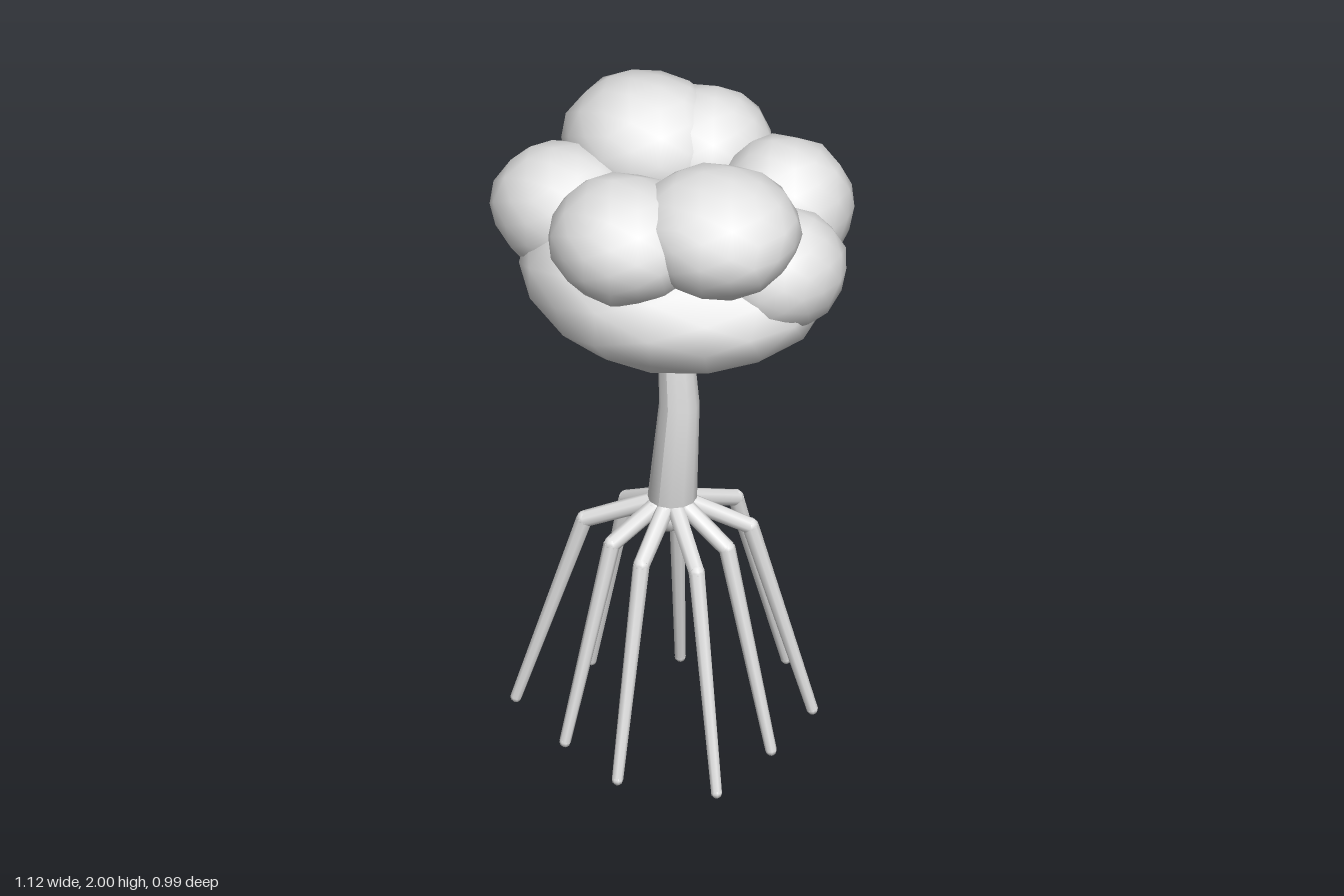
import * as THREE from 'three';
import { mergeVertices } from 'three/addons/utils/BufferGeometryUtils.js';

const clay = new THREE.MeshStandardMaterial({ color: 0xe4e4e4 });
clay.name = 'pale grey';

function addMesh(parent, name, geometry) {
  const mesh = new THREE.Mesh(geometry, clay);
  mesh.name = name;
  parent.add(mesh);
  return mesh;
}

// Coarse smooth ellipsoid with slightly uneven surface
function blobGeometry([rx, ry, rz], seed) {
  let g = new THREE.IcosahedronGeometry(1, 2);
  g.deleteAttribute('uv');
  g.deleteAttribute('normal');
  g = mergeVertices(g, 1e-4);
  const p = g.attributes.position;
  const v = new THREE.Vector3();
  for (let i = 0; i < p.count; i++) {
    v.fromBufferAttribute(p, i);
    const bump = Math.sin(5 * v.x + seed) * Math.sin(4 * v.y + 2 * seed) * Math.sin(5 * v.z + 3 * seed);
    v.multiplyScalar(1.01 + 0.04 * bump);
    p.setXYZ(i, v.x * rx, v.y * ry, v.z * rz);
  }
  g.computeVertexNormals();
  return g;
}

// Tapered rod between two points
function addRod(parent, name, a, b, ra, rb) {
  const dir = b.clone().sub(a);
  const rod = addMesh(parent, name, new THREE.CylinderGeometry(rb, ra, dir.length(), 8));
  rod.position.copy(a).addScaledVector(dir, 0.5);
  rod.quaternion.setFromUnitVectors(new THREE.Vector3(0, 1, 0), dir.normalize());
}

function addBall(parent, name, at, r) {
  addMesh(parent, name, new THREE.SphereGeometry(r, 8, 6)).position.copy(at);
}

export function createModel() {
  const tree = new THREE.Group();
  tree.name = 'tree';

  // Canopy: [name, centre, radii]
  const canopy = new THREE.Group();
  canopy.name = 'canopy';
  tree.add(canopy);
  [
    ['canopyBase', [0.02, 1.54, 0], [0.478, 0.252, 0.428]],
    ['backRightClump', [-0.23, 1.8, -0.205], [0.25, 0.2, 0.23]],
    ['backClump', [-0.085, 1.775, -0.29], [0.205, 0.19, 0.21]],
    ['backLeftClump', [0.23, 1.71, -0.25], [0.207, 0.205, 0.203]],
    ['leftClump', [0.365, 1.645, -0.02], [0.195, 0.183, 0.212]],
    ['frontLeftClump', [0.255, 1.81, 0.135], [0.252, 0.187, 0.237]],
    ['frontClump', [0.02, 1.77, 0.27], [0.232, 0.185, 0.222]],
    ['rightClump', [-0.335, 1.67, 0.065], [0.225, 0.19, 0.205]],
  ].forEach(([name, centre, radii], i) => {
    addMesh(canopy, name, blobGeometry(radii, i + 1)).position.set(...centre);
  });

  // Trunk: turned profile whose rings are shifted sideways, [y, radius, x shift]
  const rings = [[0.76, 0, 0.003], [0.765, 0.073, 0.003], [1.09, 0.06, 0.028], [1.3, 0.052, 0.014], [1.5, 0.045, 0]];
  const trunk = new THREE.LatheGeometry(rings.map(([y, r]) => new THREE.Vector2(r, y)), 12);
  const tp = trunk.attributes.position;
  for (let i = 0; i < tp.count; i++) tp.setX(i, tp.getX(i) + rings[i % rings.length][2]);
  trunk.computeVertexNormals();
  addMesh(tree, 'trunk', trunk);
  addBall(tree, 'rootCrown', new THREE.Vector3(-0.01, 0.7, 0), 0.052);

  // Stilt roots: foot positions [x, z], each bent at a knee
  const roots = new THREE.Group();
  roots.name = 'stiltRoots';
  tree.add(roots);
  [
    [-0.445, 0.16], [-0.175, 0.3], [0.08, 0.4], [0.365, 0.3], [0.355, 0],
    [0.318, -0.27], [0.085, -0.475], [-0.18, -0.31], [-0.385, -0.145],
  ].forEach(([x, z]) => {
    const root = new THREE.Group();
    root.name = 'stiltRoot';
    roots.add(root);
    const len = Math.hypot(x, z);
    const top = new THREE.Vector3((x / len) * 0.055, 0.742, (z / len) * 0.055);
    const knee = new THREE.Vector3(x * 0.56, 0.65, z * 0.56);
    const foot = new THREE.Vector3(x, 0.017, z);
    addRod(root, 'upperRoot', top, knee, 0.027, 0.025);
    addRod(root, 'lowerRoot', knee, foot, 0.025, 0.017);
    addBall(root, 'rootJoint', top, 0.027);
    addBall(root, 'rootKnee', knee, 0.025);
    addBall(root, 'rootTip', foot, 0.017);
  });
  return tree;
}
